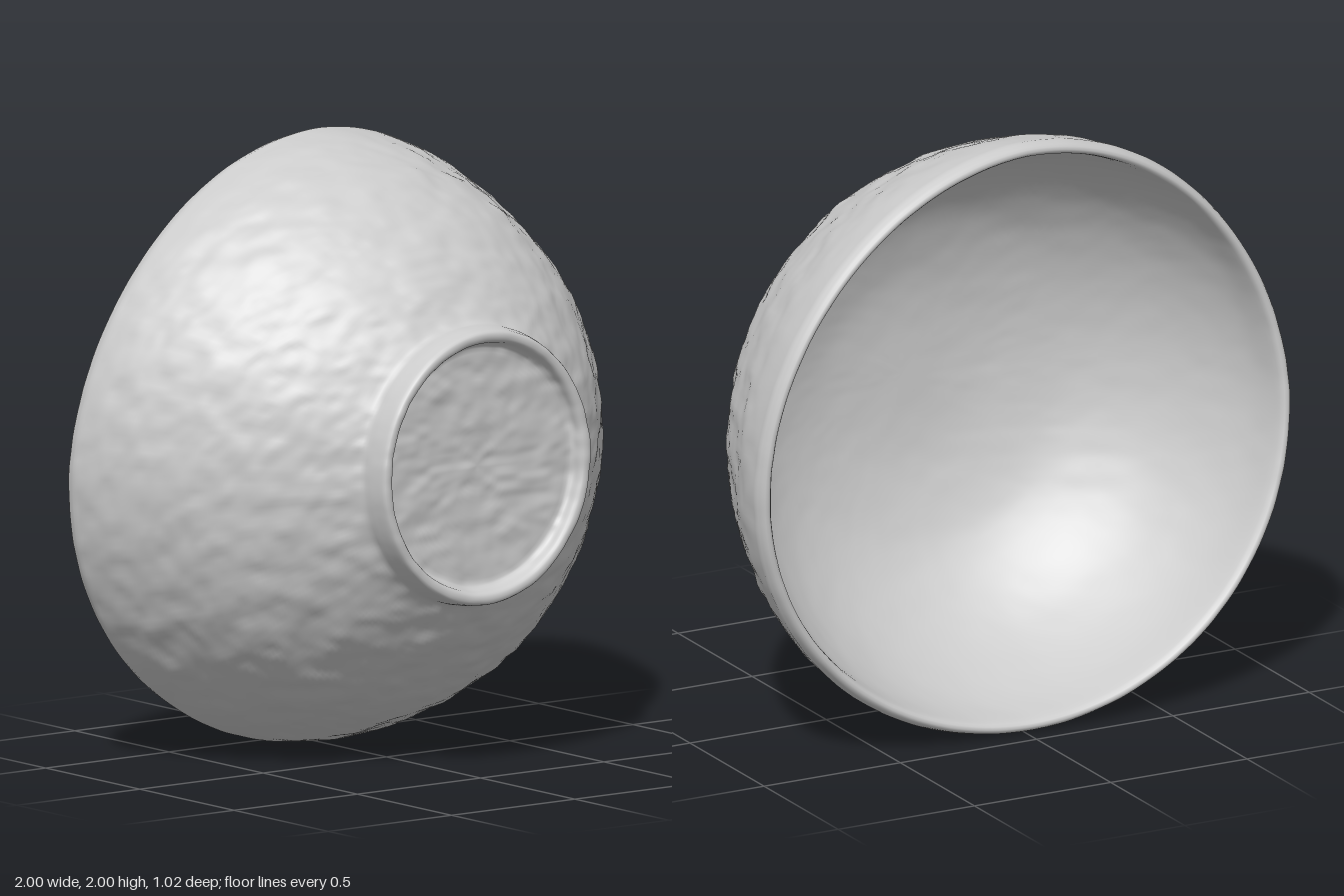
import * as THREE from 'three';
import { mergeVertices } from 'three/addons/utils/BufferGeometryUtils.js';

// Evenly spaced points along a smooth curve through [radius, axial z] pairs
function smoothRun(pairs, count) {
  const curve = new THREE.SplineCurve(pairs.map(([r, z]) => new THREE.Vector2(r, z)));
  return curve.getSpacedPoints(count);
}

// Seeded value noise in 3D, range -1..1
function hash(x, y, z) {
  const s = Math.sin(x * 127.1 + y * 311.7 + z * 74.7) * 43758.5453;
  return (s - Math.floor(s)) * 2 - 1;
}
function noise(x, y, z) {
  const ix = Math.floor(x), iy = Math.floor(y), iz = Math.floor(z);
  const ease = (t) => t * t * (3 - 2 * t);
  const fx = ease(x - ix), fy = ease(y - iy), fz = ease(z - iz);
  let sum = 0;
  for (let i = 0; i < 8; i++) {
    const a = i & 1, b = (i >> 1) & 1, c = i >> 2;
    sum += hash(ix + a, iy + b, iz + c) *
      (a ? fx : 1 - fx) * (b ? fy : 1 - fy) * (c ? fz : 1 - fz);
  }
  return sum;
}

// Closed bowl section: inside floor -> rim -> outer wall -> foot ring -> recess
function bowlProfile() {
  const runs = [
    smoothRun([[0, 0.335], [0.18, 0.33], [0.35, 0.305], [0.55, 0.235], [0.69, 0.135], [0.8, 0.01],
      [0.88, -0.14], [0.93, -0.28], [0.952, -0.4]], 50),
    smoothRun([[0.952, -0.4], [0.96, -0.432], [0.975, -0.443], [0.99, -0.432], [1, -0.4]], 10),
    smoothRun([[1, -0.4], [0.98, -0.28], [0.93, -0.14], [0.855, 0.02], [0.745, 0.16], [0.63, 0.27],
      [0.53, 0.345], [0.475, 0.385]], 75),
    smoothRun([[0.475, 0.385], [0.46, 0.402], [0.456, 0.43], [0.449, 0.47]], 8),
    smoothRun([[0.449, 0.47], [0.443, 0.483], [0.43, 0.487], [0.415, 0.483], [0.407, 0.47]], 8),
    smoothRun([[0.407, 0.47], [0.4, 0.445], [0.385, 0.43]], 5),
    smoothRun([[0.385, 0.43], [0.2, 0.428], [0, 0.428]], 26),
  ];
  const points = runs.flatMap((run, i) => (i ? run.slice(1) : run));
  points[0].x = points[points.length - 1].x = 0;
  return points;
}

// Hand-made irregularities: wavy tilted rim, off-centre tilted foot
function warp(p) {
  const { x, y, z } = p;
  const rimward = THREE.MathUtils.smoothstep(-z, -0.3, 0.42);
  const footward = THREE.MathUtils.clamp((z + 0.44) / 0.84, 0, 1);
  const footEnd = THREE.MathUtils.smoothstep(z, 0.4, 0.48);
  const dent = x < 0 && y > 0 ? 1 + 0.035 * x * y * rimward : 1;
  p.x = x * dent * (1 - 0.035 * footward) + 0.042 * footward;
  p.y = y * dent + 0.008 * footward;
  p.z = z + rimward * (-0.043 * x - 0.085 * x * y) - 0.035 * x * footEnd;
}

// Hammered texture: strong on the outside, faint on the inside
function roughen(geometry) {
  const pos = geometry.attributes.position;
  const nor = geometry.attributes.normal;
  const p = new THREE.Vector3(), n = new THREE.Vector3();
  for (let i = 0; i < pos.count; i++) {
    p.fromBufferAttribute(pos, i);
    n.fromBufferAttribute(nor, i);
    const outside = THREE.MathUtils.smoothstep(n.z, 0.05, 0.35);
    const onFoot = THREE.MathUtils.smoothstep(p.z, 0.44, 0.47);
    const amount = (0.0015 + 0.0065 * outside) * (1 - 0.6 * onFoot);
    const bump = 0.65 * noise(p.x * 11 + 9, p.y * 19 + 5, p.z * 13 + 7) +
      0.35 * noise(p.x * 22 + 31, p.y * 36 + 17, p.z * 26 + 3);
    p.addScaledVector(n, bump * amount);
    pos.setXYZ(i, p.x, p.y, p.z);
  }
}

export function createModel() {
  // Turn the section, then lay it over so the foot faces +z and the mouth -z
  let geometry = new THREE.LatheGeometry(bowlProfile(), 240);
  geometry.rotateX(Math.PI / 2);
  geometry.deleteAttribute('uv');
  geometry.deleteAttribute('normal');
  geometry = mergeVertices(geometry, 1e-5);

  const pos = geometry.attributes.position;
  const p = new THREE.Vector3();
  for (let i = 0; i < pos.count; i++) {
    warp(p.fromBufferAttribute(pos, i));
    pos.setXYZ(i, p.x, p.y, p.z);
  }
  geometry.computeVertexNormals();
  roughen(geometry);
  geometry.computeVertexNormals();
  geometry.translate(0, 1, 0);

  const bowl = new THREE.Mesh(geometry, new THREE.MeshStandardMaterial({ color: 0xcccccc }));
  bowl.name = 'bowl';
  const group = new THREE.Group();
  group.name = 'footedBowl';
  group.add(bowl);
  return group;
}
